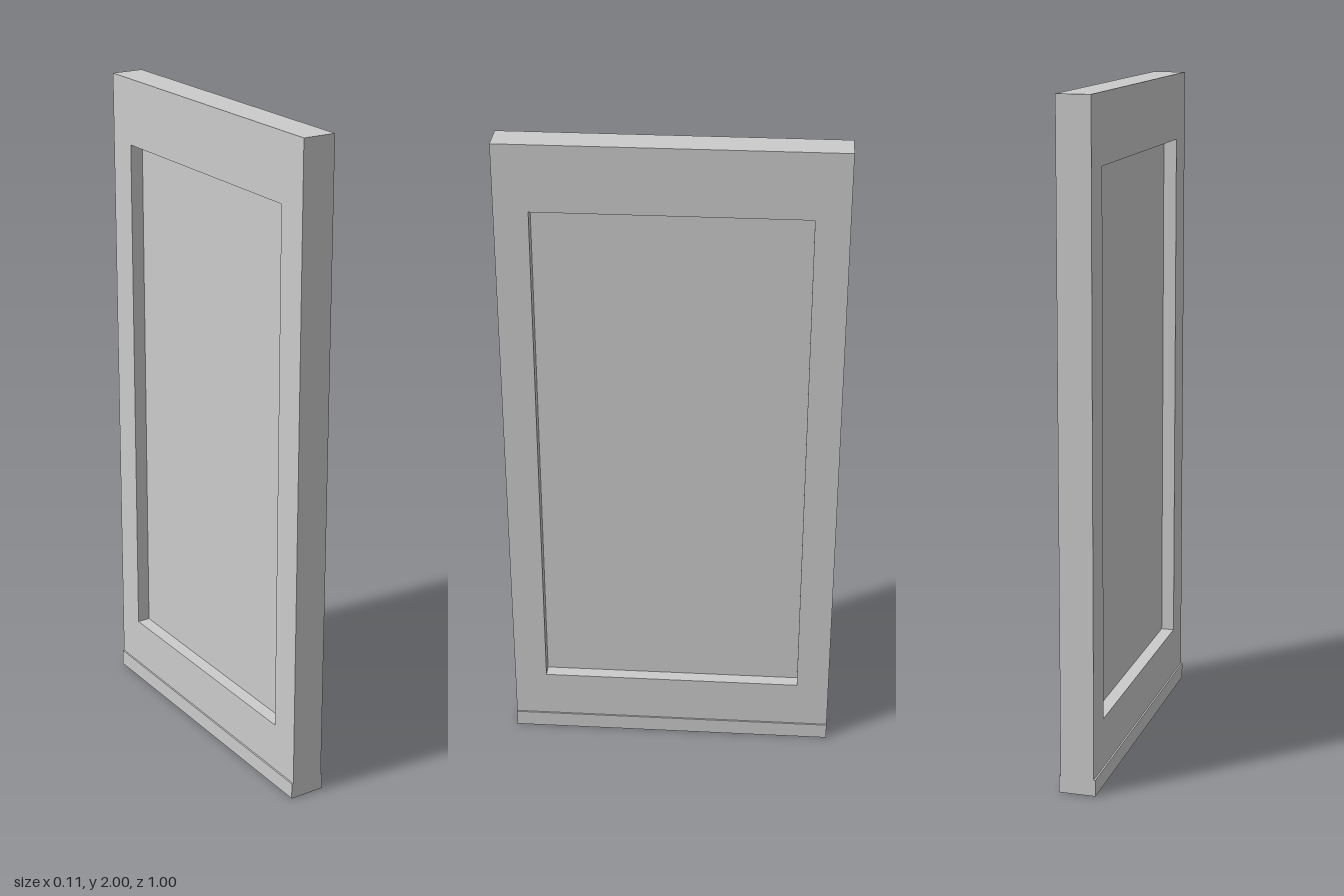
import * as THREE from 'three';

const HEIGHT = 2, WIDTH = 1, THICKNESS = 0.1;
const BASE_HEIGHT = 0.05, BASE_THICKNESS = 0.11;
const PANEL_THICKNESS = 0.02;

function rectangle(PathType, halfWidth, bottom, top) {
  return new PathType([
    new THREE.Vector2(-halfWidth, bottom),
    new THREE.Vector2(halfWidth, bottom),
    new THREE.Vector2(halfWidth, top),
    new THREE.Vector2(-halfWidth, top),
  ]);
}

export function createModel() {
  const group = new THREE.Group();
  group.name = 'panelledDoor';
  const material = new THREE.MeshStandardMaterial({ color: 0xcccccc, flatShading: true });

  const add = (name, geometry, y = 0) => {
    const mesh = new THREE.Mesh(geometry, material);
    mesh.name = name;
    mesh.position.y = y;
    group.add(mesh);
  };

  // Frame: a slab with a rectangular opening, turned so its faces look along x
  const outline = rectangle(THREE.Shape, WIDTH / 2, BASE_HEIGHT, HEIGHT);
  outline.holes.push(rectangle(THREE.Path, 0.4, 0.2, 1.8));
  const frame = new THREE.ExtrudeGeometry(outline, { depth: THICKNESS, bevelEnabled: false });
  frame.translate(0, 0, -THICKNESS / 2).rotateY(Math.PI / 2);
  add('doorFrame', frame);

  // Thin panel recessed on both faces
  add('recessedPanel', new THREE.BoxGeometry(PANEL_THICKNESS, 1.6, 0.8), 1);

  // Slightly thicker strip along the foot
  add('kickStrip', new THREE.BoxGeometry(BASE_THICKNESS, BASE_HEIGHT, WIDTH), BASE_HEIGHT / 2);

  return group;
}
